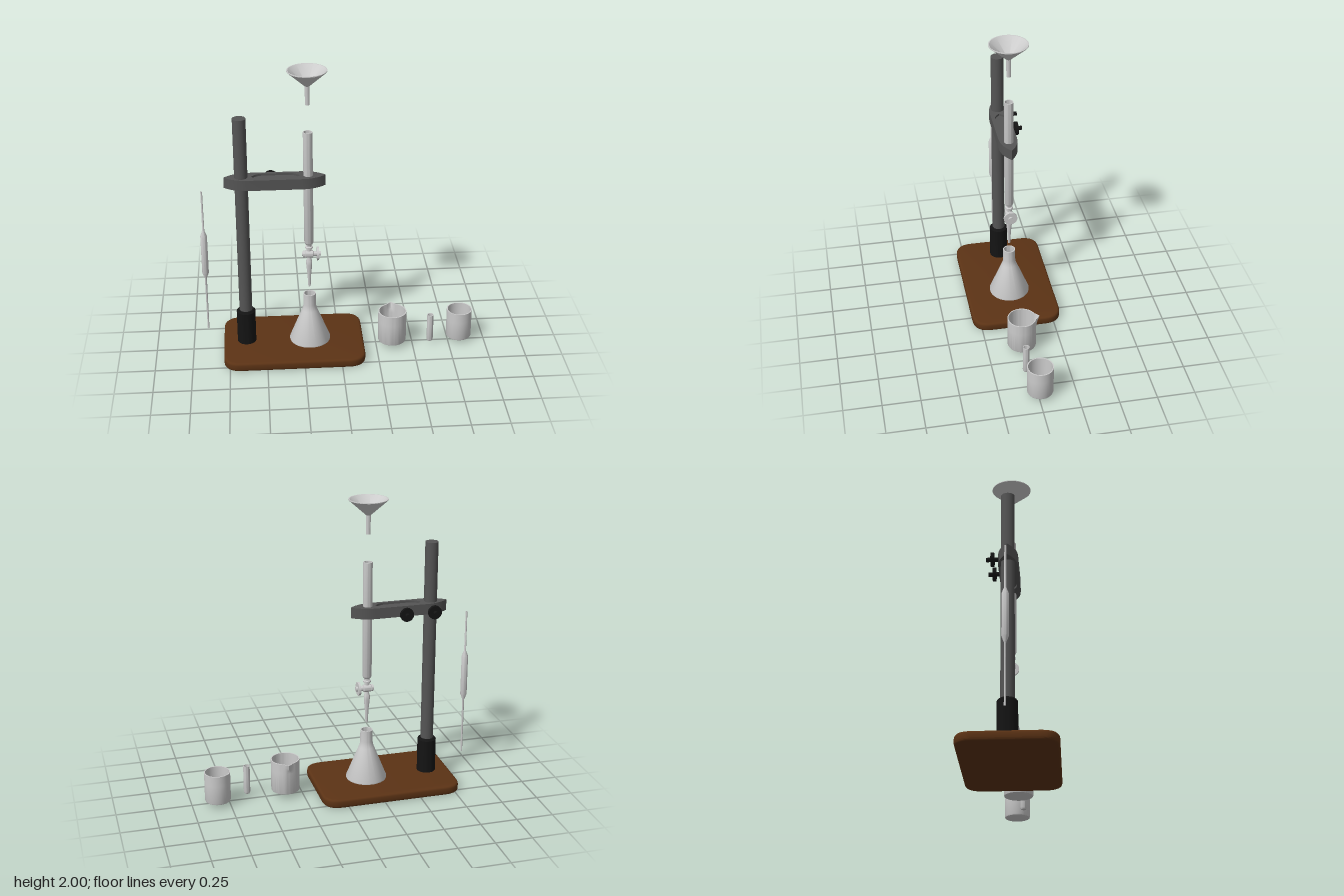
import * as THREE from 'three';
import { toCreasedNormals } from 'three/addons/utils/BufferGeometryUtils.js';

const mat = (color) => new THREE.MeshStandardMaterial({ color });
const glass = mat(0xcccccc), steel = mat(0x555555), black = mat(0x141414), wood = mat(0x5c3315);

export function createModel() {
  const model = new THREE.Group();

  const add = (name, geometry, material, x = 0, y = 0, z = 0, parent = model) => {
    const mesh = new THREE.Mesh(geometry, material);
    mesh.name = name;
    mesh.position.set(x, y, z);
    parent.add(mesh);
    return mesh;
  };
  const lathe = (points, segments = 40) => toCreasedNormals(
    new THREE.LatheGeometry(points.map(([r, y]) => new THREE.Vector2(r, y)), segments), 0.6);
  const cylinder = (r, h) => new THREE.CylinderGeometry(r, r, h, 32);

  // Wooden base with rounded corners and softened edges
  const bevel = 0.015, w = 0.475 - bevel, d = 0.305 - bevel, c = 0.1;
  const plan = new THREE.Shape();
  plan.moveTo(-w + c, -d).lineTo(w - c, -d).quadraticCurveTo(w, -d, w, -d + c)
    .lineTo(w, d - c).quadraticCurveTo(w, d, w - c, d)
    .lineTo(-w + c, d).quadraticCurveTo(-w, d, -w, d - c)
    .lineTo(-w, -d + c).quadraticCurveTo(-w, -d, -w + c, -d);
  const baseGeo = new THREE.ExtrudeGeometry(plan, {
    depth: 0.03, bevelEnabled: true, bevelSize: bevel, bevelThickness: bevel, bevelSegments: 3, curveSegments: 10,
  });
  baseGeo.rotateX(-Math.PI / 2);
  add('base', toCreasedNormals(baseGeo, 0.6), wood, -0.315, 0.015, 0);

  // Upright rod and its socket
  const rodX = -0.635, buretteX = -0.203;
  add('rod', cylinder(0.043, 1.63), steel, rodX, 0.875, 0);
  add('rodSocket', lathe([[0, 0], [0.063, 0], [0.063, 0.235], [0.053, 0.247], [0, 0.247]]), black, rodX, 0.058, 0);

  // Clamp arm: a tapered bar with a shallow groove above and below
  const clamp = new THREE.Group();
  clamp.name = 'clamp';
  model.add(clamp);
  const outline = (path, x0, x1, half, taper) => path.moveTo(x0, 0)
    .quadraticCurveTo(x0 + taper * 0.4, -half, x0 + taper, -half)
    .lineTo(x1 - taper, -half).quadraticCurveTo(x1 - taper * 0.4, -half, x1, 0)
    .quadraticCurveTo(x1 - taper * 0.4, half, x1 - taper, half)
    .lineTo(x0 + taper, half).quadraticCurveTo(x0 + taper * 0.4, half, x0, 0);
  const slab = (shape, depth) => toCreasedNormals(
    new THREE.ExtrudeGeometry(shape, { depth, bevelEnabled: false, curveSegments: 12 }).rotateX(-Math.PI / 2), 0.6);
  const rim = outline(new THREE.Shape(), -0.747, -0.09, 0.062, 0.16);
  rim.holes.push(outline(new THREE.Path(), -0.57, -0.255, 0.042, 0.08));
  add('clampArm', slab(rim, 0.072), steel, 0, 1.214, 0, clamp);
  add('clampWeb', slab(outline(new THREE.Shape(), -0.59, -0.235, 0.05, 0.08), 0.044), steel, 0, 1.228, 0, clamp);

  // Thumb screws behind the clamp
  for (const x of [rodX, -0.443]) {
    add('screwStem', cylinder(0.014, 0.085).rotateX(Math.PI / 2), black, x, 1.236, -0.09, clamp);
    add('screwKnob', cylinder(0.045, 0.022).rotateX(Math.PI / 2), black, x, 1.236, -0.094, clamp);
  }

  // Burette tube, neck and tapered tip
  const burette = new THREE.Group();
  burette.name = 'burette';
  burette.position.x = buretteX;
  model.add(burette);
  add('buretteTube', lathe([
    [0, 0.735], [0.016, 0.735], [0.016, 0.752], [0.026, 0.756], [0.026, 0.766], [0.018, 0.77], [0.018, 0.782],
    [0.025, 0.787], [0.031, 0.8], [0.031, 1.585], [0.025, 1.585], [0.025, 0.8], [0, 0.785],
  ]), glass, 0, 0, 0, burette);
  add('buretteTip', lathe([
    [0.004, 0.465], [0.008, 0.465], [0.013, 0.56], [0.02, 0.63], [0.02, 0.66], [0.014, 0.675], [0.014, 0.71], [0, 0.71],
  ]), glass, 0, 0, 0, burette);

  // Stopcock: horizontal barrel with an end cap and a round handle
  const stopcock = lathe([
    [0, -0.047], [0.014, -0.047], [0.014, -0.04], [0.023, -0.04], [0.023, -0.028], [0.018, -0.028], [0.026, -0.024],
    [0.026, 0.024], [0.016, 0.028], [0.016, 0.051], [0.046, 0.051], [0.046, 0.065], [0.016, 0.065],
    [0.016, 0.078], [0, 0.078],
  ]).rotateZ(-Math.PI / 2);
  add('stopcock', stopcock, glass, 0, 0.711, 0, burette);

  // Funnel, open from rim to stem
  add('funnel', lathe([
    [0.009, 1.77], [0.014, 1.77], [0.016, 1.895], [0.128, 1.995], [0.128, 2], [0.121, 2], [0.011, 1.9], [0.009, 1.77],
  ], 48), glass, buretteX);

  // Conical flask
  add('flask', lathe([
    [0, 0.06], [0.137, 0.06], [0.138, 0.068], [0.052, 0.285], [0.045, 0.305], [0.042, 0.33], [0.042, 0.41],
    [0.035, 0.41], [0.035, 0.32], [0.125, 0.075], [0, 0.07],
  ], 48), glass, buretteX);

  // Bulb pipette
  add('pipette', lathe([
    [0.003, 0.165], [0.006, 0.165], [0.007, 0.555], [0.022, 0.595], [0.022, 0.87], [0.007, 0.91], [0.006, 1.19],
    [0.003, 1.19], [0.003, 0.165],
  ], 24), glass, -0.893);

  // Straight-sided open vessels
  const cup = (r, y0, y1, wall, round) => [
    [0, y0], [r - round, y0], [r - round * 0.3, y0 + round * 0.3], [r, y0 + round],
    [r, y1 - 0.07], [r, y1 - 0.045], [r, y1 - 0.02], [r, y1],
    [r - wall, y1], [r - wall, y1 - 0.02], [r - wall, y1 - 0.045], [r - wall, y1 - 0.07],
    [r - wall, y0 + round], [r - wall - round * 0.5, y0 + wall], [0, y0 + wall],
  ];
  add('plainBeaker', lathe(cup(0.086, 0.025, 0.232, 0.007, 0.01), 48), glass, 0.827, 0, -0.014);
  add('testTube', lathe(cup(0.022, 0.02, 0.225, 0.004, 0.015), 24), glass, 0.62, 0, 0.038);

  // Beaker whose rim is drawn out at the back into a spout
  const beaker = new THREE.LatheGeometry(
    cup(0.096, 0.03, 0.255, 0.007, 0.01).map(([r, y]) => new THREE.Vector2(r, y)), 72);
  const pos = beaker.attributes.position;
  for (let i = 0; i < pos.count; i++) {
    const x = pos.getX(i), y = pos.getY(i), z = pos.getZ(i);
    const near = Math.max(0, 1 - Math.abs(Math.atan2(x, -z)) / 0.35);
    const high = THREE.MathUtils.clamp((y - 0.185) / 0.07, 0, 1);
    if (Math.hypot(x, z) > 0.08) pos.setZ(i, z - 0.024 * near * high);
  }
  add('spoutBeaker', toCreasedNormals(beaker, 0.6), glass, 0.36, 0, 0.017);

  return model;
}
